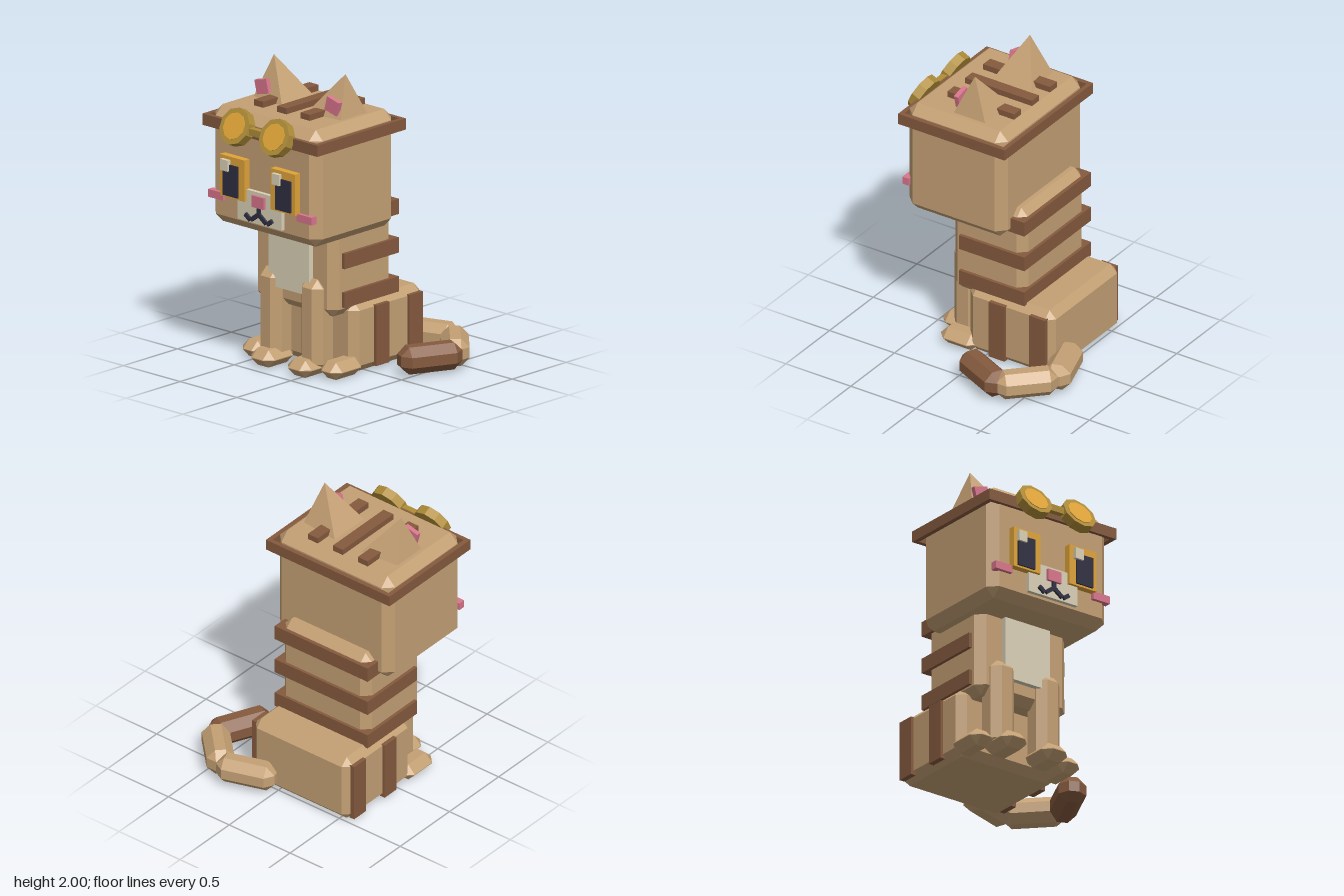
import * as THREE from 'three';
import { ConvexGeometry } from 'three/addons/geometries/ConvexGeometry.js';

const material = (name, color) => {
  const m = new THREE.MeshStandardMaterial({ color });
  m.name = name;
  return m;
};
const fur = material('tan fur', 0xc4a074);
const brown = material('brown stripe', 0x855a3e);
const cream = material('cream', 0xdcd2b8);
const amber = material('amber', 0xe0a438);
const gold = material('gold', 0xb08d38);
const pink = material('pink', 0xd9768c);
const dark = material('dark', 0x2f2f42);

// Box with every edge cut at 45 degrees
function chamferBox(w, h, d, c) {
  const pts = [];
  for (const sx of [-1, 1]) for (const sy of [-1, 1]) for (const sz of [-1, 1]) {
    const x = w / 2, y = h / 2, z = d / 2;
    pts.push(new THREE.Vector3(sx * x, sy * (y - c), sz * (z - c)));
    pts.push(new THREE.Vector3(sx * (x - c), sy * y, sz * (z - c)));
    pts.push(new THREE.Vector3(sx * (x - c), sy * (y - c), sz * z));
  }
  return new ConvexGeometry(pts);
}

export function createModel() {
  const model = new THREE.Group();
  model.name = 'cat';
  const cat = new THREE.Group();
  cat.name = 'catBody';
  cat.position.x = -0.185; // the tail reaches out to one side
  model.add(cat);

  const add = (name, geometry, mat, x = 0, y = 0, z = 0) => {
    const mesh = new THREE.Mesh(geometry, mat);
    mesh.name = name;
    mesh.position.set(x, y, z);
    cat.add(mesh);
    return mesh;
  };
  // Box placed by centre x, width, and y and z ranges; optional chamfer
  const box = (name, mat, x, w, [y0, y1], [z0, z1], c = 0) => {
    const h = y1 - y0, d = z1 - z0;
    const g = c ? chamferBox(w, h, d, c) : new THREE.BoxGeometry(w, h, d);
    return add(name, g, mat, x, (y0 + y1) / 2, (z0 + z1) / 2);
  };

  // Head and the square band around it
  box('head', fur, 0, 0.945, [0.95, 1.73], [-0.19, 0.568], 0.062);
  box('bandFront', brown, 0, 1.014, [1.59, 1.665], [0.563, 0.593]);
  box('bandBack', brown, 0, 1.014, [1.59, 1.665], [-0.228, -0.198]);
  for (const s of [-1, 1]) box('bandSide', brown, s * 0.491, 0.032, [1.59, 1.665], [-0.198, 0.563]);

  // Stripes on top of the head
  for (const x of [-0.205, 0, 0.205]) box('headStripe', brown, x, 0.081, [1.71, 1.77], [-0.125, 0.389]);

  // Torso, chest patch and wrap-around stripes
  box('torso', fur, 0, 0.718, [0.4, 1.135], [-0.275, 0.288], 0.055);
  box('chest', cream, 0, 0.357, [0.53, 1.0], [0.27, 0.325]);
  for (const y of [0.517, 0.777, 1.035]) {
    box('torsoStripe', brown, 0, 0.763, [y - 0.051, y + 0.051], [-0.295, 0.208]);
  }

  // Haunches
  box('haunches', fur, 0, 0.8, [0.005, 0.478], [-0.518, 0.14], 0.052);

  // Face
  box('muzzle', cream, 0, 0.39, [1.03, 1.242], [0.55, 0.595]);
  box('nose', pink, 0, 0.106, [1.142, 1.22], [0.58, 0.613]);

  // Mouth strokes: start and end of each in the face plane
  const strokes = [[0, 1.145, 0, 1.08]];
  for (const s of [-1, 1]) {
    strokes.push([0, 1.1, s * 0.065, 1.052], [s * 0.075, 1.048, s * 0.118, 1.08]);
  }
  for (const [x0, y0, x1, y1] of strokes) {
    const g = new THREE.BoxGeometry(Math.hypot(x1 - x0, y1 - y0), 0.028, 0.025);
    add('mouth', g, dark, (x0 + x1) / 2, (y0 + y1) / 2, 0.598).rotation.z = Math.atan2(y1 - y0, x1 - x0);
  }

  // Goggle bridge
  box('goggleBridge', gold, 0, 0.18, [1.625, 1.67], [0.593, 0.635]);

  for (const s of [-1, 1]) {
    // Eyes; both highlights sit toward the same side
    box('eye', amber, s * 0.223, 0.215, [1.162, 1.438], [0.55, 0.615]);
    box('pupil', dark, s * 0.233, 0.132, [1.175, 1.385], [0.6, 0.626]);
    box('eyeHighlight', cream, s * 0.226 - 0.046, 0.066, [1.342, 1.416], [0.6, 0.64]);
    box('cheek', pink, s * 0.39, 0.132, [1.12, 1.172], [0.545, 0.593]);

    // Ears: leaning pyramids with a pink plate
    const ear = [[0.315, 2, 0.13], [0.387, 1.72, 0], [0.387, 1.72, 0.25], [0.1, 1.72, 0.28], [0.1, 1.72, -0.03]];
    add('ear', new ConvexGeometry(ear.map(([x, y, z]) => new THREE.Vector3(s * x, y, z))), fur);
    const inner = add('innerEar', new THREE.BoxGeometry(0.107, 0.095, 0.032), pink, s * 0.309, 1.81, 0.237);
    inner.rotation.z = -s * 0.25;

    // Goggles pushed up on the brow
    const goggle = new THREE.Group();
    goggle.name = 'goggle';
    goggle.position.set(s * 0.175, 1.65, 0.617);
    goggle.rotation.x = THREE.MathUtils.degToRad(65);
    const rimGeo = new THREE.CylinderGeometry(0.124, 0.124, 0.063, 10).toNonIndexed();
    const lensGeo = new THREE.CylinderGeometry(0.09, 0.09, 0.01, 10).toNonIndexed();
    rimGeo.computeVertexNormals();
    lensGeo.computeVertexNormals();
    const rim = new THREE.Mesh(rimGeo, gold);
    rim.name = 'goggleRim';
    const lens = new THREE.Mesh(lensGeo, amber);
    lens.name = 'goggleLens';
    lens.position.y = 0.031;
    goggle.add(rim, lens);
    cat.add(goggle);

    // Legs and paws
    box('frontLeg', fur, s * 0.182, 0.19, [0.03, 0.642], [0.155, 0.35], 0.053);
    box('frontPaw', fur, s * 0.162, 0.206, [0.005, 0.12], [0.17, 0.447], 0.055);
    box('hindPaw', fur, s * 0.346, 0.184, [0.005, 0.12], [0.06, 0.345], 0.055);

    // Side stripes on the haunches
    for (const z of [-0.107, -0.417]) {
      box('haunchStripe', brown, s * 0.4, 0.038, [0.03, 0.435], [z - 0.061, z + 0.061]);
    }
  }

  // Tail: three segments curling round [x, z, length, dx, dz]
  const tail = [
    [0.371, -0.588, 0.4, 0.95, -0.31, fur],
    [0.675, -0.507, 0.4, 0.71, 0.71, fur],
    [0.727, -0.218, 0.42, -0.42, 0.907, brown],
  ];
  for (const [x, z, length, dx, dz, mat] of tail) {
    add('tailSegment', chamferBox(length, 0.18, 0.18, 0.055), mat, x, 0.118, z).rotation.y = Math.atan2(-dz, dx);
  }
  return model;
}
